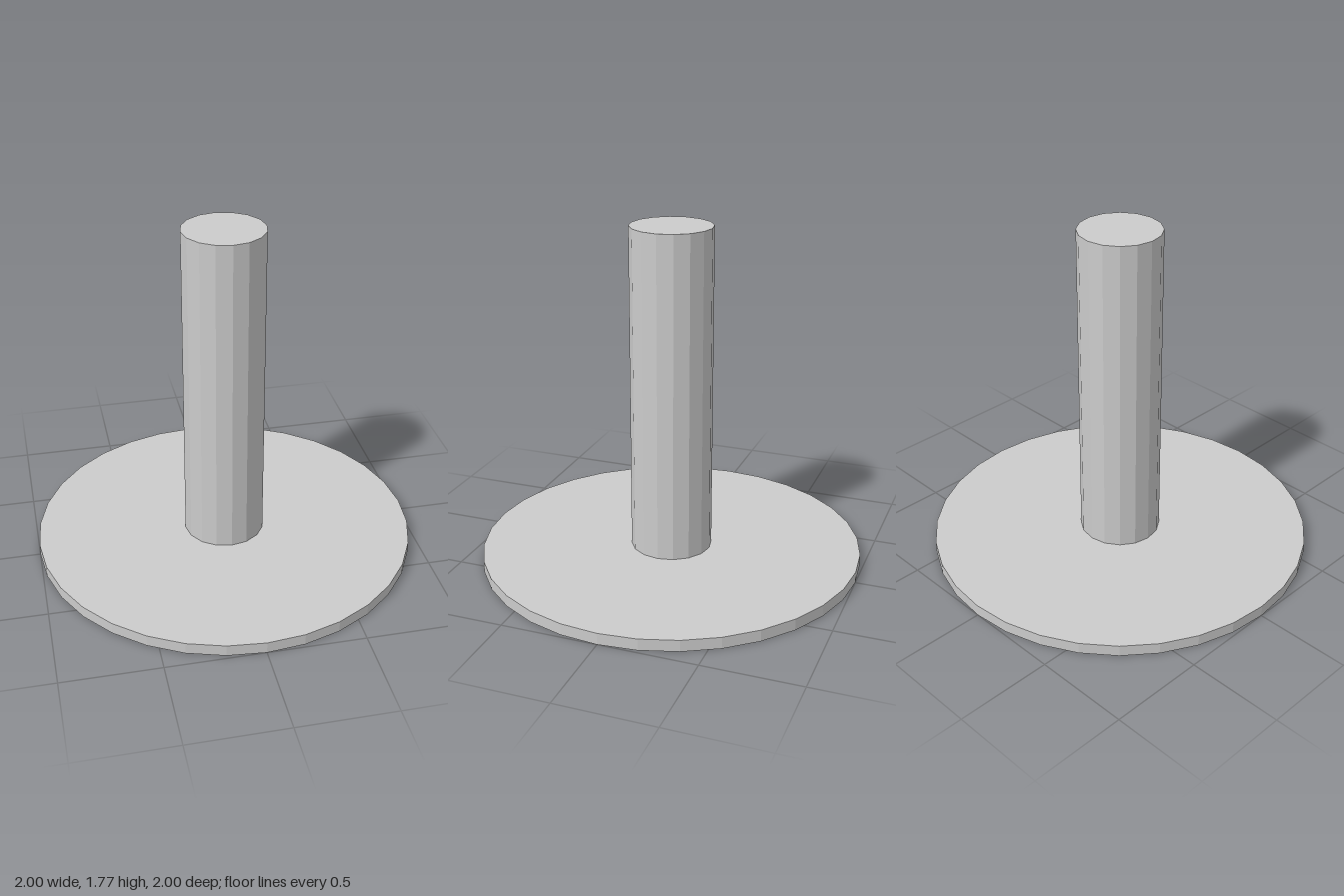
import * as THREE from 'three';

const DISC_HEIGHT = 0.06;
const TOTAL_HEIGHT = 1.775;

export function createModel() {
  const group = new THREE.Group();
  const material = new THREE.MeshStandardMaterial({ color: 0xcccccc, flatShading: true });

  // Upright faceted cylinder standing on height y0
  const addCylinder = (name, radius, y0, y1, sides) => {
    const geometry = new THREE.CylinderGeometry(radius, radius, y1 - y0, sides);
    const mesh = new THREE.Mesh(geometry, material);
    mesh.name = name;
    mesh.position.y = (y0 + y1) / 2;
    group.add(mesh);
  };

  // Wide thin base and the post on its centre
  addCylinder('baseDisc', 1, 0, DISC_HEIGHT, 32);
  addCylinder('post', 0.212, DISC_HEIGHT, TOTAL_HEIGHT, 16);

  return group;
}
